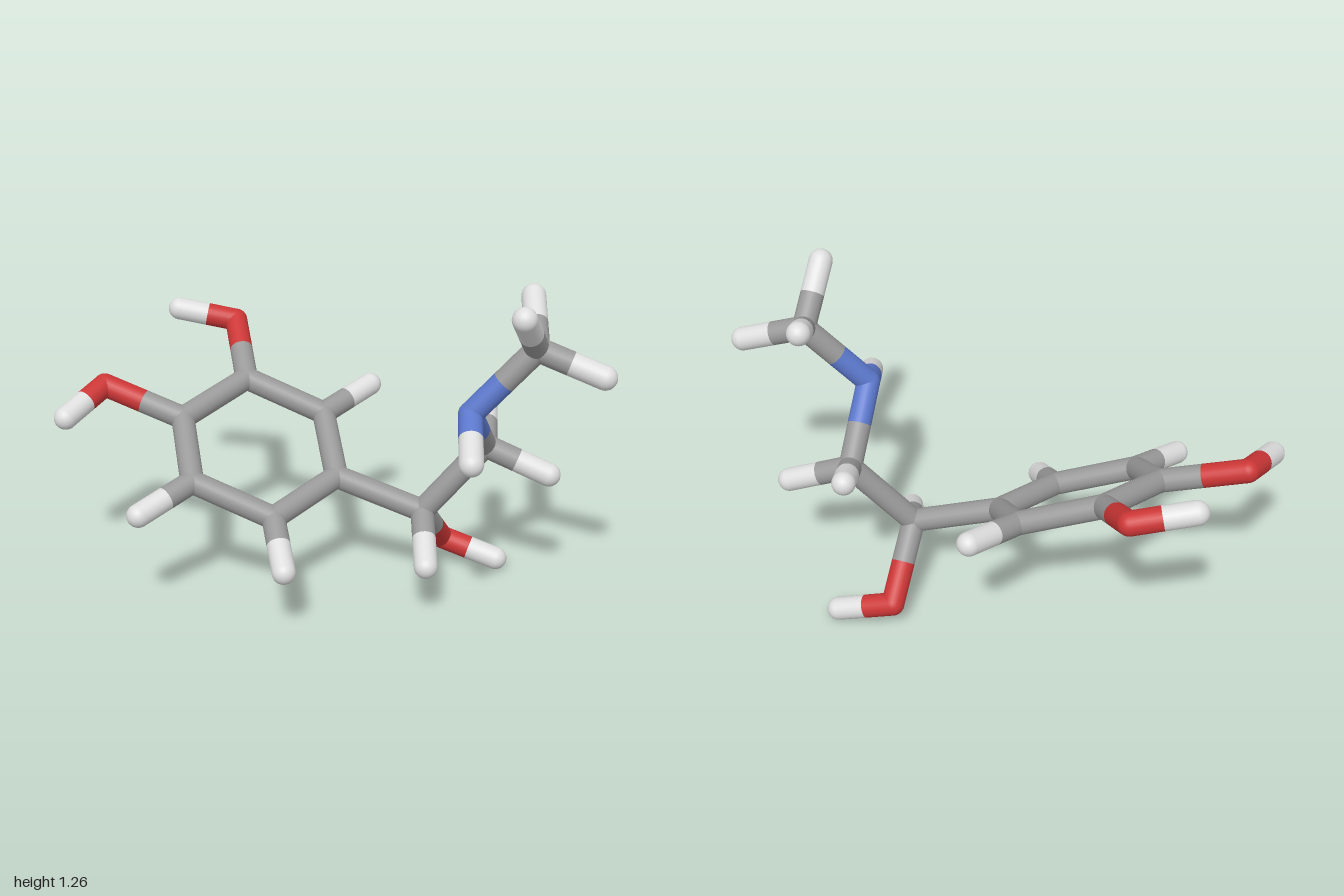
import * as THREE from 'three';

const RADIUS = 0.043;

// Atom: element letter followed by its position
const ATOMS = {
  // ring
  C1: [-0.02, 0.43, -0.045], C2: [-0.15, 0.575, -0.27], C3: [-0.447, 0.69, -0.235],
  C4: [-0.59, 0.62, 0.043], C5: [-0.46, 0.48, 0.268], C6: [-0.163, 0.367, 0.232],
  H2: [-0.035, 0.627, -0.48], H5: [-0.578, 0.423, 0.475], H6: [-0.056, 0.257, 0.413],
  // two hydroxyl groups on the ring
  O3: [-0.58, 0.83, -0.465], H3: [-0.79, 0.873, -0.403],
  O4: [-0.895, 0.717, 0.06], H4: [-0.957, 0.657, 0.262],
  // side chain
  C7: [0.302, 0.328, -0.076], H7: [0.381, 0.216, 0.136],
  O7: [0.315, 0.108, -0.308], H70: [0.525, 0.046, -0.322],
  C8: [0.512, 0.59, -0.148], H81: [0.745, 0.5, -0.17], H82: [0.458, 0.687, -0.355],
  N1: [0.514, 0.81, 0.09], H10: [0.575, 0.717, 0.291],
  C9: [0.722, 1.05, 0.02], H91: [0.955, 0.971, 0.005],
  H92: [0.716, 1.22, 0.208], H93: [0.656, 1.167, -0.182],
};

// Pairs of joined atoms
const BONDS = [
  'C1-C2', 'C2-C3', 'C3-C4', 'C4-C5', 'C5-C6', 'C6-C1', 'C2-H2', 'C5-H5', 'C6-H6',
  'C3-O3', 'O3-H3', 'C4-O4', 'O4-H4', 'C1-C7', 'C7-H7', 'C7-O7', 'O7-H70',
  'C7-C8', 'C8-H81', 'C8-H82', 'C8-N1', 'N1-H10', 'N1-C9', 'C9-H91', 'C9-H92', 'C9-H93',
];

const ELEMENTS = {
  C: ['carbon', 0x999999], H: ['hydrogen', 0xdedede],
  O: ['oxygen', 0xcc3636], N: ['nitrogen', 0x5c78cc],
};

export function createModel() {
  const model = new THREE.Group();
  model.name = 'stickMolecule';

  const materials = {};
  for (const [key, [name, color]] of Object.entries(ELEMENTS)) {
    materials[key] = new THREE.MeshStandardMaterial({ color });
    materials[key].name = name;
  }
  const at = (id) => new THREE.Vector3(...ATOMS[id]);

  // Rounded joints and tips, one per atom
  const ball = new THREE.SphereGeometry(RADIUS, 24, 16);
  for (const id of Object.keys(ATOMS)) {
    const joint = new THREE.Mesh(ball, materials[id[0]]);
    joint.position.copy(at(id));
    joint.name = ELEMENTS[id[0]][0] + 'Joint';
    model.add(joint);
  }

  // Straight stick between two points
  const up = new THREE.Vector3(0, 1, 0);
  function addStick(from, to, element) {
    const span = to.clone().sub(from);
    const geometry = new THREE.CylinderGeometry(RADIUS, RADIUS, span.length(), 24, 1, true);
    const stick = new THREE.Mesh(geometry, materials[element]);
    stick.position.copy(from).addScaledVector(span, 0.5);
    stick.quaternion.setFromUnitVectors(up, span.normalize());
    stick.name = ELEMENTS[element][0] + 'Stick';
    model.add(stick);
  }

  // Each bond takes the colour of its nearer atom on either half
  for (const bond of BONDS) {
    const [a, b] = bond.split('-');
    const middle = at(a).lerp(at(b), 0.5);
    addStick(at(a), middle, a[0]);
    addStick(middle, at(b), b[0]);
  }
  return model;
}
